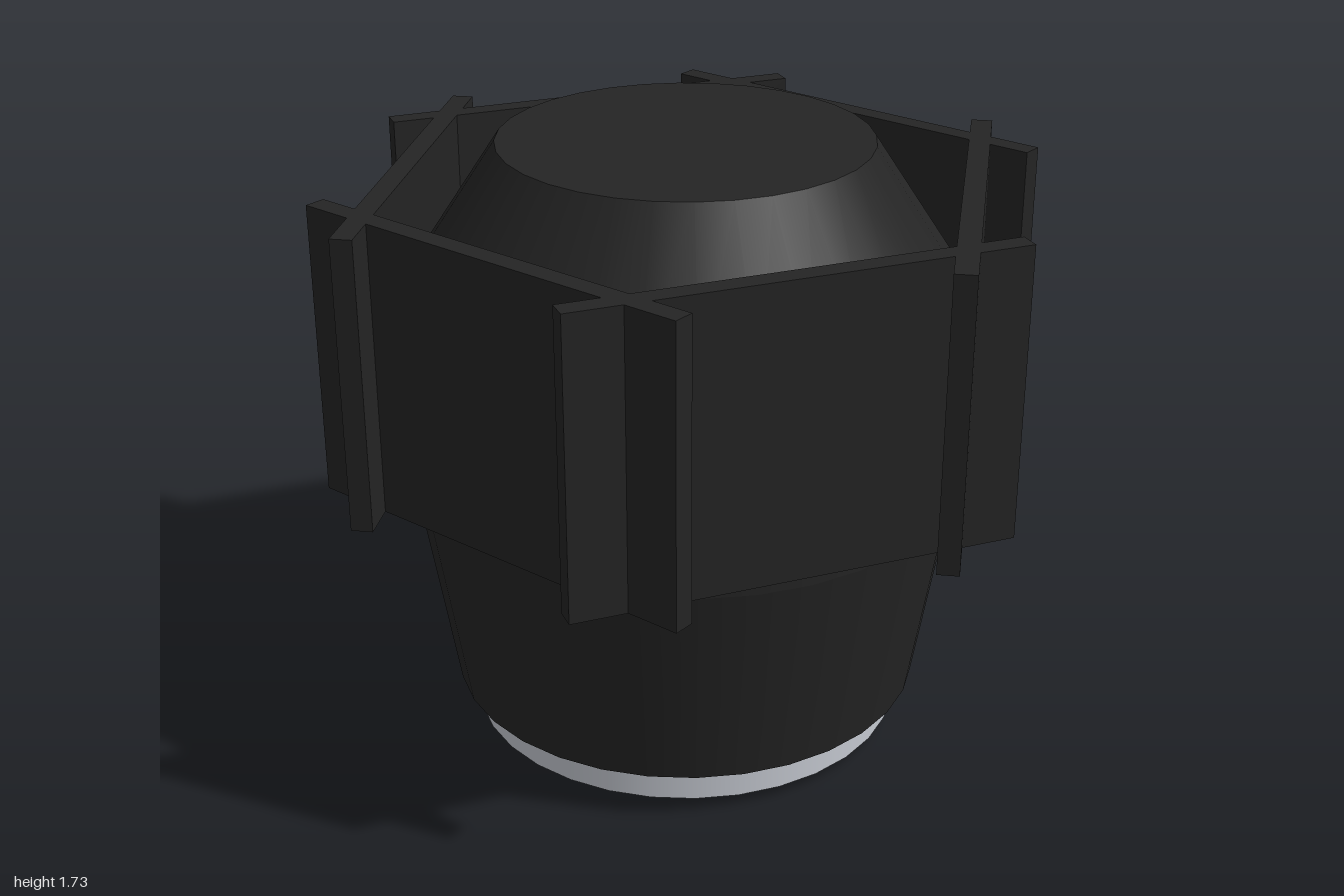
import * as THREE from 'three';

export function createModel() {
  const model = new THREE.Group();
  model.name = 'panelledCanister';
  const mat = (name, color) => {
    const m = new THREE.MeshStandardMaterial({ color });
    m.name = name;
    return m;
  };
  const black = mat('matte black', 0x242424);
  const silver = mat('silver', 0xc4c8d0);
  const slate = mat('slate grey', 0x5d5f69);

  const add = (name, geometry, material, parent = model) => {
    const mesh = new THREE.Mesh(geometry, material);
    mesh.name = name;
    parent.add(mesh);
    return mesh;
  };

  // A round section between two heights, smooth sided with crisp rims
  const section = (name, rBottom, rTop, y0, y1, material, open = false) => {
    const geo = new THREE.CylinderGeometry(rTop, rBottom, y1 - y0, 32, 1, open);
    add(name, geo, material).position.y = (y0 + y1) / 2;
  };

  // Silver foot
  section('footPlate', 0.535, 0.535, 0, 0.035, silver);
  section('footRing', 0.615, 0.615, 0.035, 0.14, silver);

  // Body: tapered lower half, straight middle, sloped shoulder
  section('lowerBody', 0.668, 0.768, 0.14, 0.755, black);
  section('middleBody', 0.768, 0.768, 0.755, 1.335, black, true);
  section('shoulder', 0.768, 0.51, 1.335, 1.725, black);

  // Six upright panels crossing at the corners of a hexagon
  for (let i = 0; i < 6; i++) {
    const pivot = new THREE.Group();
    pivot.name = 'panel' + (i + 1);
    pivot.rotation.y = (i * Math.PI) / 3;
    add('panelBoard', new THREE.BoxGeometry(0.06, 0.82, 1.23), black, pivot)
      .position.set(0.77, 1.21, 0);
    model.add(pivot);
  }

  // Round side knobs
  for (const side of [1, -1]) {
    const geo = new THREE.CylinderGeometry(0.203, 0.203, 0.14, 18).rotateZ(-side * Math.PI / 2);
    add(side > 0 ? 'leftKnob' : 'rightKnob', geo, slate).position.set(side * 0.8, 0.957, 0);
  }

  return model;
}
